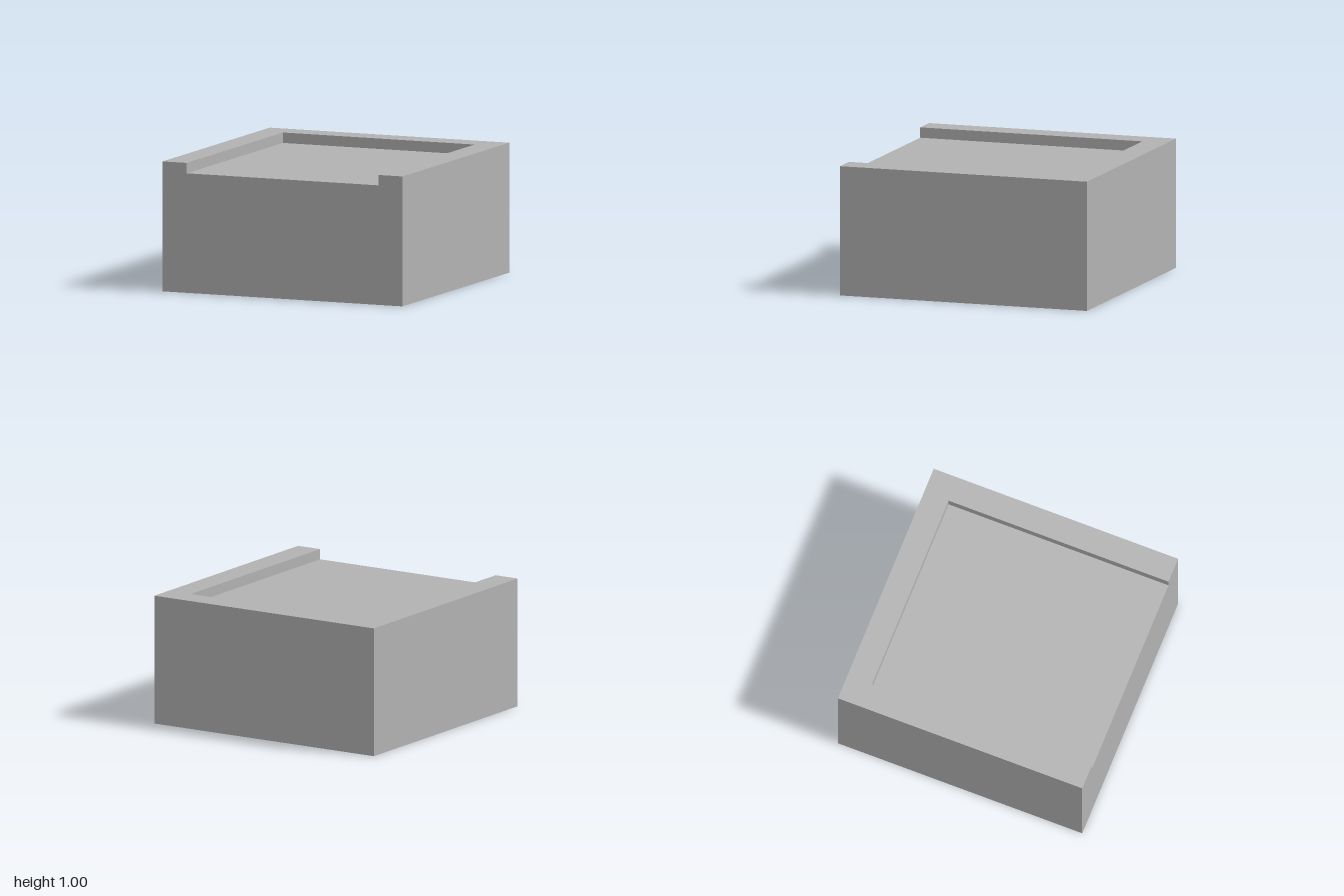
import * as THREE from 'three';

export function createModel() {
  const group = new THREE.Group();
  const grey = new THREE.MeshStandardMaterial({ color: 0xb2b2b2 });
  grey.name = 'grey';

  const floorY = 0.92, topY = 1, inner = 0.8;

  // Solid block up to the recessed floor
  const base = new THREE.Mesh(new THREE.BoxGeometry(2, floorY, 2), grey);
  base.name = 'base';
  base.position.y = floorY / 2;
  group.add(base);

  // U-shaped raised rim, open at the front
  const outline = new THREE.Shape([
    [-1, -1], [-inner, -1], [-inner, inner], [inner, inner],
    [inner, -1], [1, -1], [1, 1], [-1, 1],
  ].map(([x, y]) => new THREE.Vector2(x, y)));
  const rimGeometry = new THREE.ExtrudeGeometry(outline, { depth: topY - floorY, bevelEnabled: false });
  rimGeometry.rotateX(-Math.PI / 2);
  const rim = new THREE.Mesh(rimGeometry, grey);
  rim.name = 'rim';
  rim.position.y = floorY;
  group.add(rim);

  return group;
}
